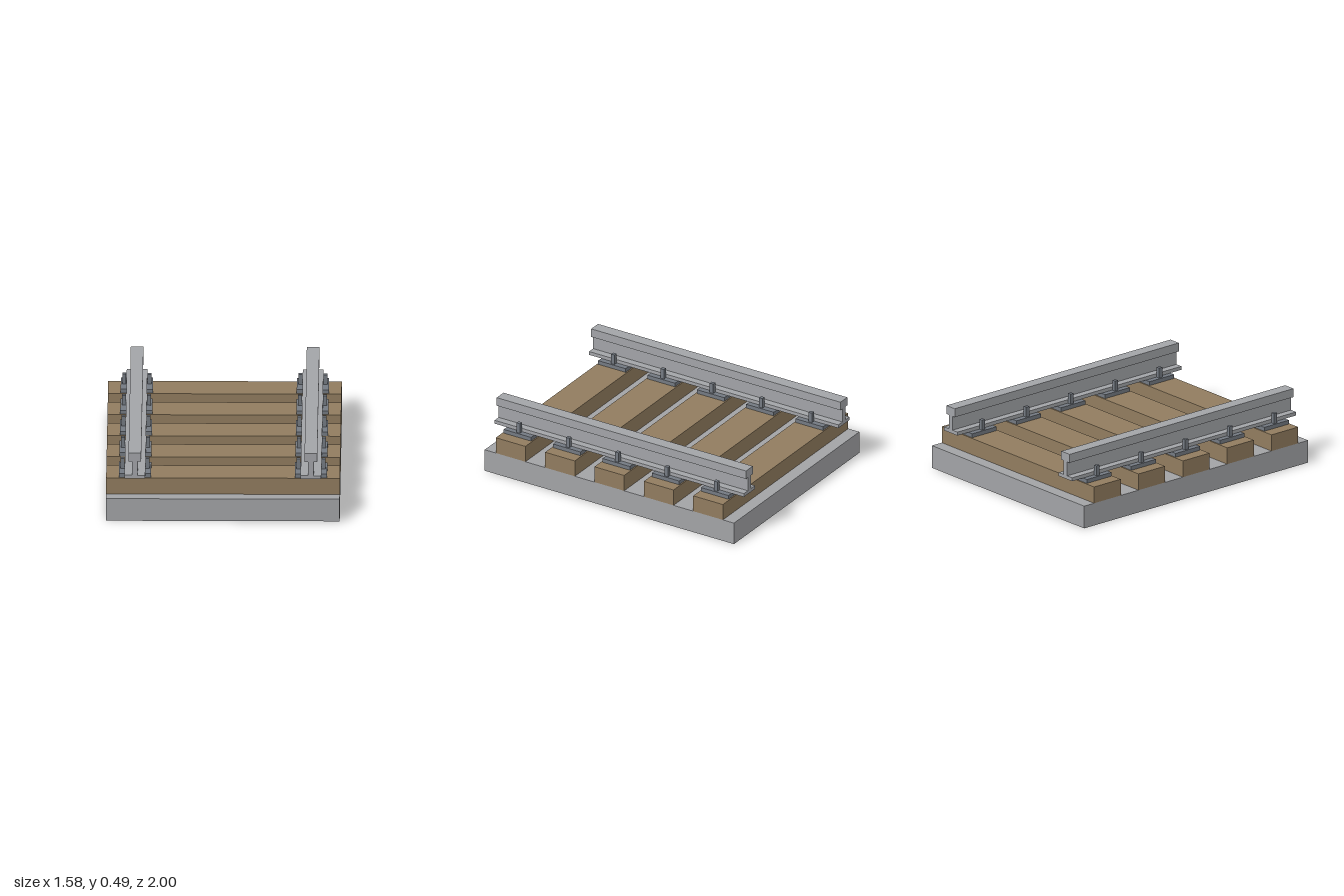
import * as THREE from 'three';

const material = (name, color) => {
  const m = new THREE.MeshStandardMaterial({ color });
  m.name = name;
  return m;
};

export function createModel() {
  const track = new THREE.Group();
  track.name = 'railwayTrack';

  const stone = material('ballast grey', 0xa2a3a6);
  const steel = material('rail steel', 0xa2a4a8);
  const iron = material('dark iron', 0x747a82);
  const wood = material('sleeper wood', 0x917c5f);

  // Box placed by its base height
  const box = (name, mat, w, h, d, x, y, z) => {
    const mesh = new THREE.Mesh(new THREE.BoxGeometry(w, h, d), mat);
    mesh.name = name;
    mesh.position.set(x, y + h / 2, z);
    track.add(mesh);
  };

  // Ballast bed
  box('ballastBed', stone, 1.582, 0.16, 2, 0, 0, 0);

  // Rail section: wide foot, thin web, square head
  const half = [[0.07, 0.305], [0.07, 0.33], [0.019, 0.33], [0.019, 0.43], [0.043, 0.43], [0.043, 0.491]];
  const outline = [...half, ...half.map(([x, y]) => [-x, y]).reverse()];
  const railGeometry = new THREE.ExtrudeGeometry(
    new THREE.Shape(outline.map(([x, y]) => new THREE.Vector2(x, y))),
    { depth: 2, bevelEnabled: false }
  ).translate(0, 0, -1);

  const railX = 0.596;
  for (const side of [-1, 1]) {
    const rail = new THREE.Mesh(railGeometry, steel);
    rail.name = side > 0 ? 'leftRail' : 'rightRail';
    rail.position.x = side * railX;
    track.add(rail);
  }

  // Sleepers with a tie plate and two clips under each rail
  for (let i = -2; i <= 2; i++) {
    const z = i * 0.396;
    box('sleeper', wood, 1.582, 0.117, 0.238, 0, 0.16, z);
    for (const side of [-1, 1]) {
      const x = side * railX;
      box('tiePlate', iron, 0.218, 0.028, 0.22, x, 0.277, z);
      for (const edge of [-1, 1]) {
        box('railClip', iron, 0.026, 0.072, 0.028, x + edge * 0.085, 0.305, z);
      }
    }
  }

  return track;
}
